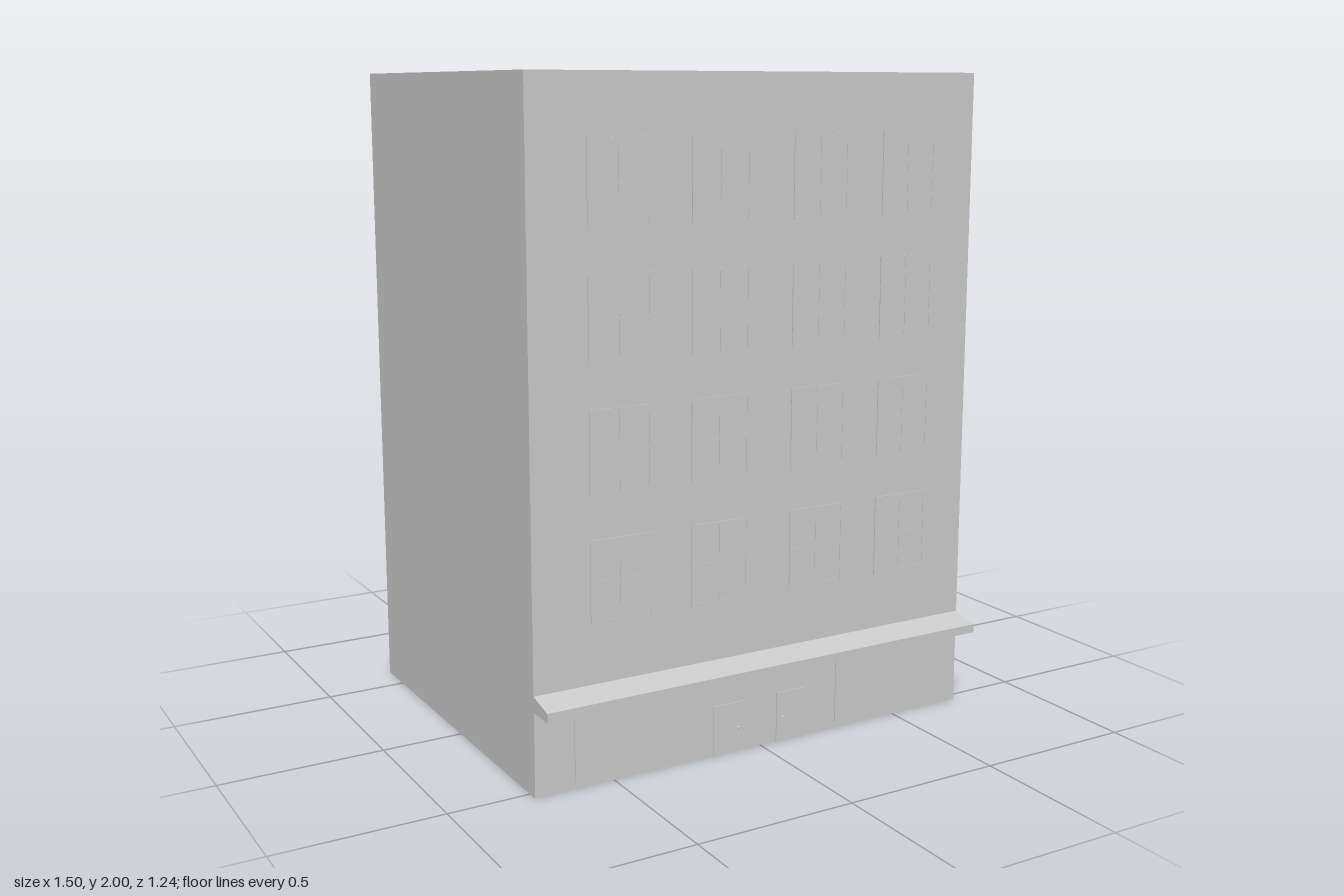
import * as THREE from 'three';

const FRONT = 0.533; // z of the facade
const BACK = -0.62;
const WIDTH = 1.5;

const material = new THREE.MeshStandardMaterial({ color: 0xcccccc, flatShading: true });

// Shallow relief panel standing on the facade, given by its edges
function relief(name, x0, x1, y0, y1, depth) {
  const mesh = new THREE.Mesh(new THREE.BoxGeometry(x1 - x0, y1 - y0, depth), material);
  mesh.name = name;
  mesh.position.set((x0 + x1) / 2, (y0 + y1) / 2, FRONT + depth / 2);
  return mesh;
}

// Pane with a raised border and crossing glazing bars
function makeWindow(x0, x1, y0, y1) {
  const group = new THREE.Group();
  group.name = 'window';
  const t = 0.008, xm = (x0 + x1) / 2, ym = (y0 + y1) / 2, d = 0.003;
  group.add(
    relief('windowPane', x0, x1, y0, y1, 0.0015),
    relief('windowSideRight', x0, x0 + t, y0, y1, d),
    relief('windowSideLeft', x1 - t, x1, y0, y1, d),
    relief('windowSill', x0 + t, x1 - t, y0, y0 + t, d),
    relief('windowHead', x0 + t, x1 - t, y1 - t, y1, d),
    relief('windowMullion', xm - t / 2, xm + t / 2, y0 + t, y1 - t, d),
    relief('windowBar', x0 + t, x1 - t, ym - t / 2, ym + t / 2, d)
  );
  return group;
}

export function createModel() {
  const model = new THREE.Group();
  model.name = 'building';

  // Main block
  const body = new THREE.Mesh(new THREE.BoxGeometry(WIDTH, 2, FRONT - BACK), material);
  body.name = 'buildingBody';
  body.position.set(0, 1, (FRONT + BACK) / 2);
  model.add(body);

  // Sloping canopy: side profile drawn as (-z, y), extruded across the facade
  const profile = new THREE.Shape([
    [-FRONT, 0.253], [-FRONT, 0.30], [-0.62, 0.28], [-0.62, 0.253],
  ].map(([z, y]) => new THREE.Vector2(z, y)));
  const canopyGeometry = new THREE.ExtrudeGeometry(profile, { depth: WIDTH, bevelEnabled: false });
  canopyGeometry.rotateY(Math.PI / 2).translate(-WIDTH / 2, 0, 0);
  const canopy = new THREE.Mesh(canopyGeometry, material);
  canopy.name = 'canopy';
  model.add(canopy);

  // Four floors of four windows
  const columns = [[-0.57, -0.373], [-0.243, -0.05], [0.097, 0.29], [0.413, 0.607]];
  for (let floor = 0; floor < 4; floor++) {
    const y = 0.475 + floor * 0.369;
    for (const [x0, x1] of columns) model.add(makeWindow(x0, x1, y, y + 0.245));
  }

  // Shop windows beside the entrance
  model.add(
    relief('shopWindowRight', -0.625, -0.25, 0.02, 0.225, 0.003),
    relief('shopWindowLeft', 0.275, 0.648, 0.02, 0.225, 0.003)
  );

  // Pair of doors with small knobs
  for (const side of [-1, 1]) {
    const inner = 0.057 * side, outer = 0.165 * side;
    model.add(relief('door', Math.min(inner, outer), Math.max(inner, outer), 0, 0.155, 0.003));
    const knob = new THREE.Mesh(new THREE.SphereGeometry(0.004, 8, 6), material);
    knob.name = 'doorKnob';
    knob.position.set(0.08 * side, 0.075, FRONT + 0.004);
    model.add(knob);
  }

  return model;
}
